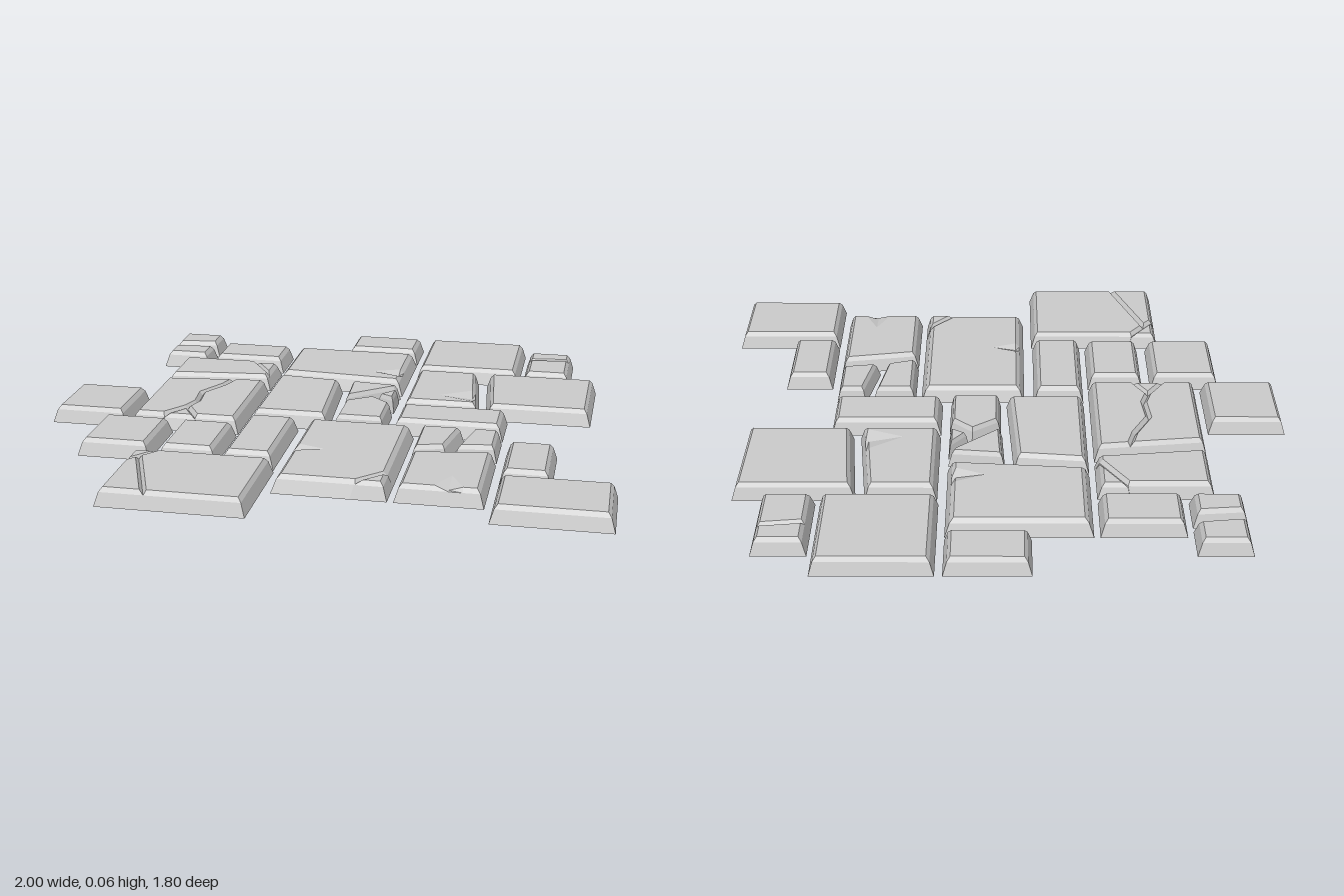
import * as THREE from 'three';

const H = 0.06;            // slab thickness
const GROOVE = 0.014;      // depth of surface cracks and chips
const material = new THREE.MeshStandardMaterial({ color: 0xcccccc, flatShading: true });

// Moves every edge of a clockwise outline inward by its own distance.
function inset(points, distances) {
  const n = points.length;
  const lines = points.map((p, i) => {
    const q = points[(i + 1) % n];
    const len = Math.hypot(q.x - p.x, q.z - p.z);
    const nx = -(q.z - p.z) / len, nz = (q.x - p.x) / len;
    return { nx, nz, d: distances[i], o: p.x * nx + p.z * nz + distances[i] };
  });
  return points.map((p, i) => {
    const a = lines[(i + n - 1) % n], b = lines[i];
    const c = a.nx * b.nz - a.nz * b.nx;
    if (Math.abs(c) < 0.05) {
      const d = (a.d + b.d) / 2;
      return { x: p.x + b.nx * d, z: p.z + b.nz * d };
    }
    return { x: (a.o * b.nz - b.o * a.nz) / c, z: (a.nx * b.o - b.nx * a.o) / c };
  });
}

// One stone piece: tapered sides, bevelled rim, optional cracked edges and a chip.
// cracks: indices of edges shared with a neighbouring piece
// chip: [edge, position along it, width, depth]
function stoneGeometry(outline, { cracks = [], chip = null, bevel = 0.025, h = H } = {}) {
  const pts = outline.map(([x, z], i) => ({ x, z, crack: cracks.includes(i) }));
  let chipAt = -1;
  if (chip) {
    const [edge, t, width] = chip;
    const a = pts[edge], b = pts[(edge + 1) % pts.length];
    const len = Math.hypot(b.x - a.x, b.z - a.z);
    const along = [t - width / len / 2, t, t + width / len / 2].map(s => (
      { x: a.x + (b.x - a.x) * s, z: a.z + (b.z - a.z) * s, crack: a.crack }));
    pts.splice(edge + 1, 0, ...along);
    chipAt = edge + 2;
  }
  const ring = (y, side, crack) => inset(pts, pts.map(p => (p.crack ? crack : side)))
    .map(p => new THREE.Vector3(p.x, y, p.z));
  const rings = [ring(0, 0, 0), ring(h - GROOVE - 0.001, bevel * 0.55, 0), ring(h, bevel, 0.011)];
  const top = rings[2], n = pts.length, pos = [];
  const tri = (...v) => v.forEach(p => pos.push(p.x, p.y, p.z));
  const flat = (a, b, c, up) => {
    const ny = (b.z - a.z) * (c.x - a.x) - (b.x - a.x) * (c.z - a.z);
    if ((ny > 0) === up) tri(a, b, c); else tri(a, c, b);
  };
  const cap = (loop, up) => THREE.ShapeUtils
    .triangulateShape(loop.map(p => new THREE.Vector2(p.x, p.z)), [])
    .forEach(([a, b, c]) => flat(loop[a], loop[b], loop[c], up));

  // Top face, with the chip sloping down towards the rim
  const face = top.slice();
  if (chip) {
    const a = top[chipAt - 1], m = top[chipAt], b = top[chipAt + 1];
    const dir = new THREE.Vector3(-(b.z - a.z), 0, b.x - a.x).normalize();
    const inner = m.clone().addScaledVector(dir, chip[3]);
    m.y = h - GROOVE;
    face[chipAt] = inner;
    flat(a, m, inner, true);
    flat(m, b, inner, true);
  }
  cap(face, true);
  cap(rings[0], false);

  // Sides
  for (let r = 0; r < 2; r++) {
    for (let i = 0; i < n; i++) {
      const j = (i + 1) % n, lo = rings[r], hi = rings[r + 1];
      tri(lo[i], hi[j], lo[j]);
      tri(lo[i], hi[i], hi[j]);
    }
  }
  const geometry = new THREE.BufferGeometry();
  geometry.setAttribute('position', new THREE.Float32BufferAttribute(pos, 3));
  geometry.computeVertexNormals();
  return geometry;
}

const rect = (x0, x1, z0, z1) => [[x0, z0], [x1, z0], [x1, z1], [x0, z1]];

export function createModel() {
  const root = new THREE.Group();
  root.name = 'stonePaving';
  const add = (name, outline, options, parent = root) => {
    const mesh = new THREE.Mesh(stoneGeometry(outline, options), material);
    mesh.name = name;
    parent.add(mesh);
  };
  const addCracked = (name, pieces) => {
    const group = new THREE.Group();
    group.name = name;
    pieces.forEach(([outline, cracks, more], i) =>
      add(`${name}Piece${i + 1}`, outline, { cracks, ...more }, group));
    root.add(group);
  };

  // Whole rectangular slabs
  [
    [-0.60, -0.32, -0.70, -0.515], [-0.10, 0.18, -0.90, -0.715], [0.205, 0.595, -0.90, -0.52],
    [0.21, 0.595, -0.10, 0.09], [-1.00, -0.73, -0.095, 0.19], [-0.80, -0.55, 0.21, 0.49],
    [-0.52, -0.32, 0.21, 0.49], [-0.30, -0.12, 0.115, 0.50], [0.62, 0.79, 0.21, 0.50],
    [0.62, 1.00, 0.515, 0.80],
  ].forEach((r, i) => add(`slab${i + 1}`, rect(...r)));

  // Slabs broken right through, with slanted gaps between the parts
  add('brokenCornerBack', [[-0.80, -0.80], [-0.62, -0.80], [-0.62, -0.67], [-0.80, -0.65]]);
  add('brokenCornerFront', [[-0.80, -0.635], [-0.62, -0.65], [-0.62, -0.515], [-0.80, -0.515]]);
  add('largeBackSlab', [[-0.30, -0.70], [0.18, -0.70], [0.18, -0.325], [-0.30, -0.36]],
    { chip: [1, 0.72, 0.08, 0.1], bevel: 0.03 });
  add('centreSlab', [[-0.30, -0.345], [-0.045, -0.32], [-0.02, 0.09], [-0.30, 0.09]]);
  add('centreShard', [[-0.015, -0.315], [0.18, -0.295], [0.17, -0.26], [-0.005, -0.115]],
    { bevel: 0.018 });
  add('smallShard', [[0.18, -0.255], [0.18, -0.13], [0.11, -0.17]], { bevel: 0.012 });
  add('pointedShard', [[0.00, -0.09], [0.10, -0.16], [0.18, -0.09], [0.18, 0.09], [0.00, 0.09]],
    { bevel: 0.018 });
  add('splitSlabInner', [[0.21, -0.50], [0.45, -0.50], [0.49, -0.12], [0.21, -0.12]],
    { chip: [1, 0.75, 0.12, 0.12] });
  add('splitSlabOuter', [[0.48, -0.50], [0.89, -0.50], [0.885, -0.12], [0.515, -0.12]]);
  add('frontShardInner', [[0.31, 0.115], [0.465, 0.115], [0.43, 0.315], [0.31, 0.35]],
    { bevel: 0.02 });
  add('frontShardOuter', [[0.49, 0.115], [0.595, 0.115], [0.595, 0.295], [0.45, 0.315]],
    { bevel: 0.02 });
  add('frontShardSlab', [[0.31, 0.365], [0.595, 0.32], [0.595, 0.69], [0.31, 0.69]],
    { chip: [2, 0.4, 0.09, 0.09] });

  // Slabs with surface cracks
  addCracked('backEdgeSlab', [
    [[[0.61, -0.80], [0.79, -0.80], [0.79, -0.71], [0.61, -0.69]], [2]],
    [[[0.61, -0.69], [0.79, -0.71], [0.79, -0.52], [0.61, -0.52]], [0]],
  ]);
  addCracked('chippedSlab', [
    [[[-0.71, -0.49], [-0.43, -0.49], [-0.32, -0.32], [-0.32, -0.295], [-0.71, -0.255]], [1]],
    [[[-0.43, -0.49], [-0.32, -0.49], [-0.32, -0.32]], [2], { h: H - 0.006 }],
  ]);
  const fork = [-0.53, 0.09], bend1 = [-0.51, 0.03], bend2 = [-0.52, -0.07], bend3 = [-0.465, -0.17];
  const crackTop = [-0.44, -0.255], crackLeft = [-0.60, 0.19], crackRight = [-0.47, 0.19];
  addCracked('windingCrackSlab', [
    [[[-0.71, -0.225], crackTop, bend3, bend2, bend1, fork, crackLeft, [-0.71, 0.19]],
      [1, 2, 3, 4, 5]],
    [[crackTop, [-0.32, -0.27], [-0.32, 0.19], crackRight, fork, bend1, bend2, bend3],
      [3, 4, 5, 6, 7]],
    [[fork, crackRight, crackLeft], [0, 2], { h: H - 0.004 }],
  ]);
  addCracked('largeFrontSlab', [
    [[[-0.085, 0.115], [0.29, 0.115], [0.29, 0.565], [0.17, 0.69], [-0.085, 0.69]], [2],
      { chip: [4, 0.47, 0.06, 0.09], bevel: 0.03 }],
    [[[0.29, 0.565], [0.29, 0.69], [0.17, 0.69]], [2]],
  ]);
  addCracked('frontLeftSlab', [
    [[[-0.60, 0.515], [-0.49, 0.515], [-0.55, 0.59], [-0.60, 0.65]], [1, 2], { h: H - 0.004 }],
    [[[-0.60, 0.65], [-0.55, 0.59], [-0.435, 0.90], [-0.60, 0.90]], [0, 1]],
    [[[-0.49, 0.515], [-0.115, 0.515], [-0.115, 0.90], [-0.435, 0.90], [-0.55, 0.59]], [3, 4]],
  ]);
  return root;
}
